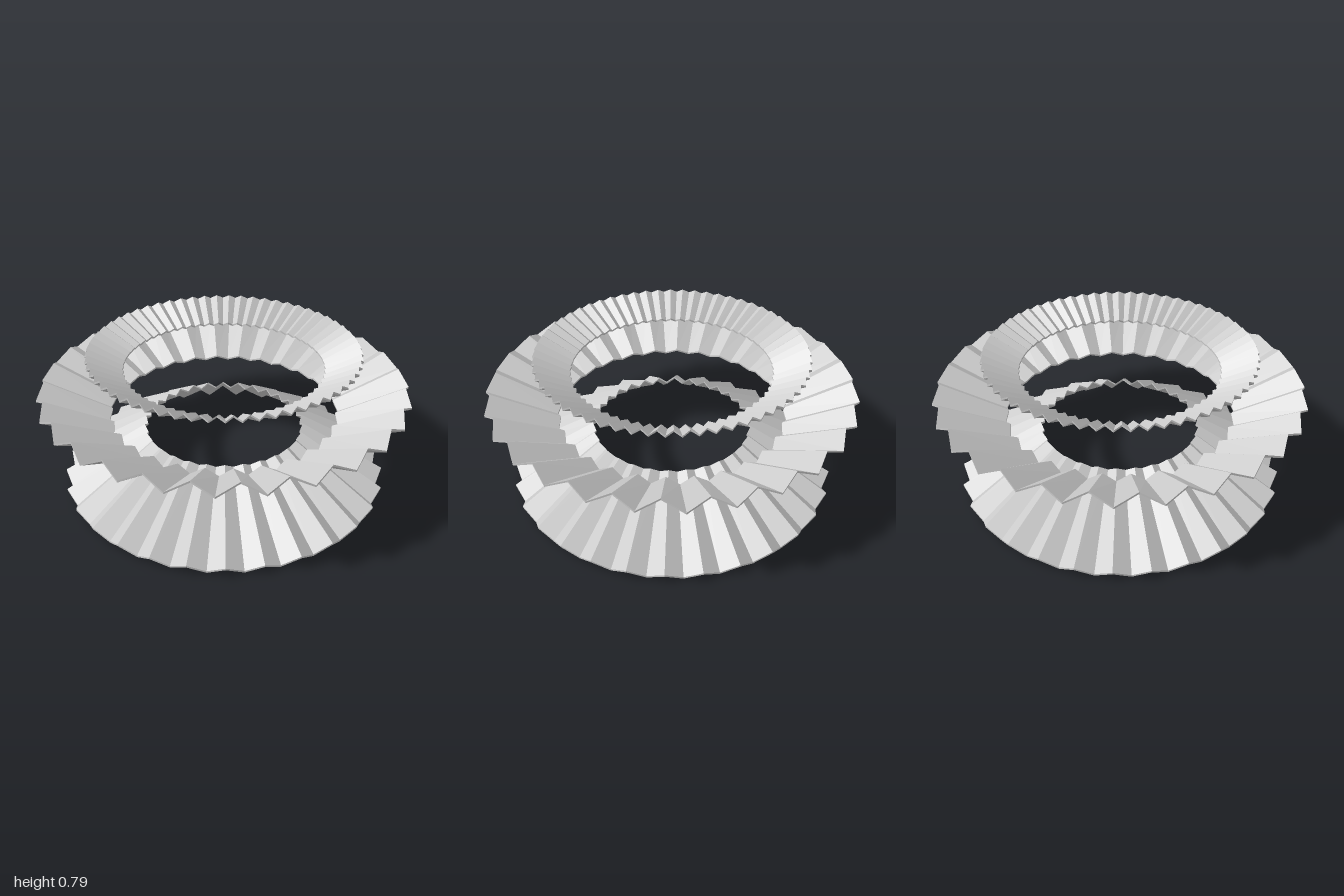
import * as THREE from 'three';

const THICKNESS = 0.01;

// A thin zigzag-folded conical ring. Folds alternate between a low and a high
// radial section, each given as [innerRadius, innerY, outerRadius, outerY].
function pleatedRing(name, material, pleats, low, high, phase = 0) {
  const points = [];
  const index = [];
  const count = pleats * 2;
  const h = THICKNESS / 2;
  for (let i = 0; i < count; i++) {
    const a = phase + (i / count) * Math.PI * 2;
    const [ri, yi, ro, yo] = i % 2 ? high : low;
    // closed cross-section: inner top, outer top, outer bottom, inner bottom
    for (const [r, y] of [[ri, yi + h], [ro, yo + h], [ro, yo - h], [ri, yi - h]]) {
      points.push(r * Math.cos(a), y, r * Math.sin(a));
    }
    const next = (i + 1) % count;
    for (let k = 0; k < 4; k++) {
      const k2 = (k + 1) % 4;
      const p = i * 4 + k, q = i * 4 + k2, s = next * 4 + k2, t = next * 4 + k;
      index.push(p, s, q, p, t, s);
    }
  }
  let geometry = new THREE.BufferGeometry();
  geometry.setAttribute('position', new THREE.Float32BufferAttribute(points, 3));
  geometry.setIndex(index);
  geometry = geometry.toNonIndexed(); // crisp folds
  geometry.computeVertexNormals();
  const mesh = new THREE.Mesh(geometry, material);
  mesh.name = name;
  return mesh;
}

export function createModel() {
  const group = new THREE.Group();
  group.name = 'pleatedRings';
  const paper = new THREE.MeshStandardMaterial({ color: 0xcccccc });
  paper.name = 'light grey';

  // Lower ring slopes down and outward; the other two flare up and outward
  group.add(
    pleatedRing('lowerRing', paper, 30, [0.425, 0.302, 0.868, 0.005], [0.442, 0.326, 0.9, 0.056]),
    pleatedRing('middleRing', paper, 28, [0.63, 0.395, 0.998, 0.555], [0.61, 0.425, 0.962, 0.606], 0.017),
    pleatedRing('upperRing', paper, 60, [0.545, 0.665, 0.73, 0.763], [0.533, 0.682, 0.715, 0.785]),
  );
  return group;
}
